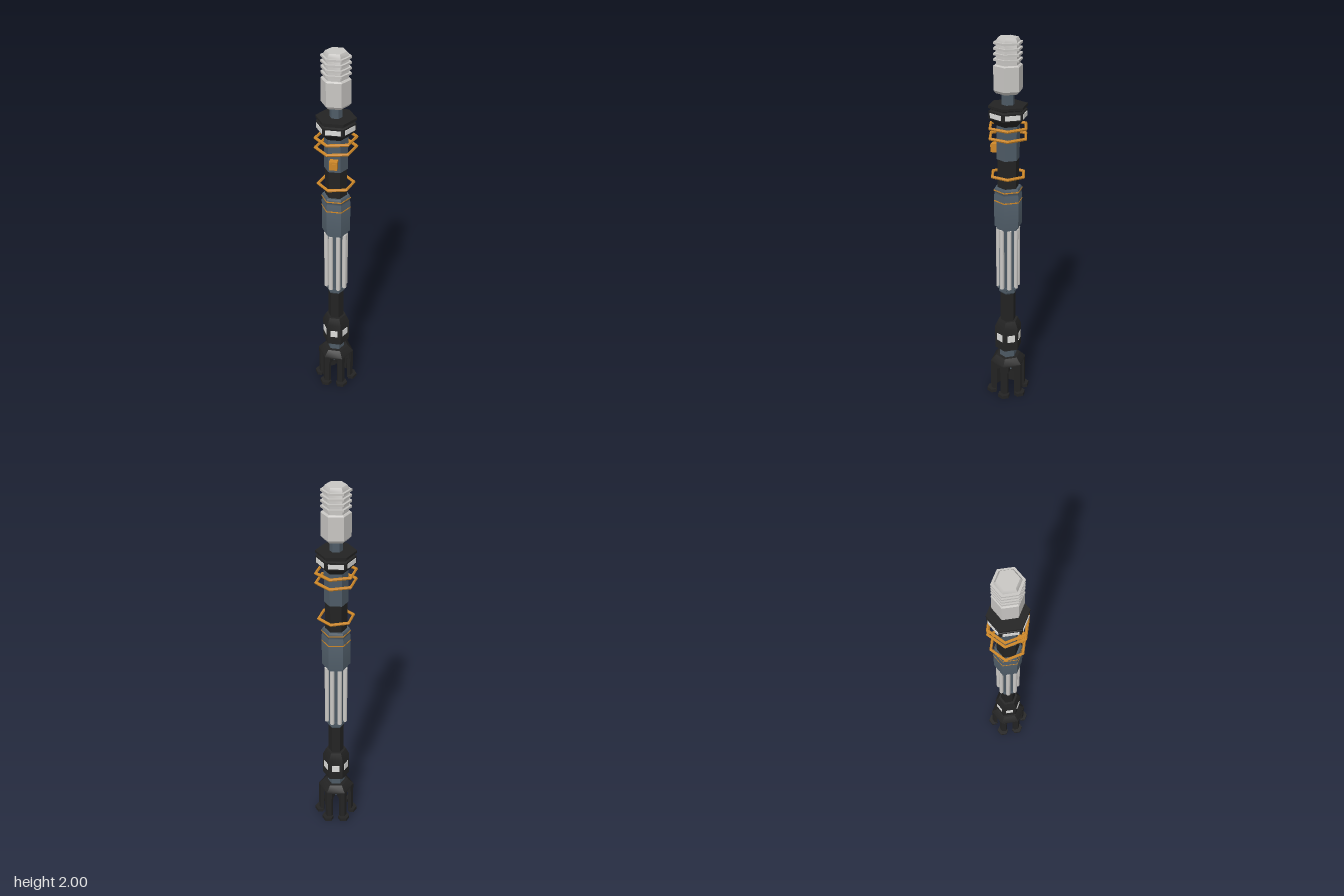
import * as THREE from 'three';
import { toCreasedNormals } from 'three/addons/utils/BufferGeometryUtils.js';

const paint = (name, color) => {
  const m = new THREE.MeshStandardMaterial({ color });
  m.name = name;
  return m;
};

export function createModel() {
  const model = new THREE.Group();
  model.name = 'hexTower';
  const slate = paint('slate', 0x4e5b66);
  const black = paint('black', 0x232323);
  const silver = paint('silver', 0xc8c6c3);
  const gold = paint('gold', 0xcf8828);
  const glass = paint('paleWindow', 0xdddddb);

  const add = (name, geometry, material, parent = model) => {
    const mesh = new THREE.Mesh(toCreasedNormals(geometry, 0.55), material);
    mesh.name = name;
    parent.add(mesh);
    return mesh;
  };

  // Closed six-sided body with corners on the x axis; profile of [radius, y] from bottom to top
  const hex = (name, material, profile) => {
    const pts = [[0, profile[0][1]], ...profile, [0, profile[profile.length - 1][1]]];
    return add(name, new THREE.LatheGeometry(pts.map(p => new THREE.Vector2(...p)), 6, Math.PI / 6), material);
  };

  // Thin window plate on each of the six faces
  const windows = (name, radius, y, width, height) => {
    for (let i = 0; i < 6; i++) {
      const pivot = new THREE.Group();
      pivot.name = name;
      pivot.rotation.y = i * Math.PI / 3;
      add(name, new THREE.BoxGeometry(width, height, 0.006), glass, pivot)
        .position.set(0, y, radius * Math.cos(Math.PI / 6));
      model.add(pivot);
    }
  };

  // Pointed block: the corner of a hexagonal ring, upright between y0 and y1
  const cornerBlock = (name, inner, outer, half, y0, y1, parent) => {
    const back = outer - half * Math.tan(Math.PI / 6);
    const shape = new THREE.Shape([
      [outer, 0], [back, half], [inner, half], [inner, -half], [back, -half],
    ].map(p => new THREE.Vector2(...p)));
    const g = new THREE.ExtrudeGeometry(shape, { depth: y1 - y0, bevelEnabled: false });
    g.rotateX(-Math.PI / 2).translate(0, y0, 0);
    add(name, g, black, parent);
  };

  // Claw base: cap, six legs and feet
  hex('clawCap', black, [[0.085, 0.185], [0.1, 0.195], [0.098, 0.205], [0.068, 0.235]]);
  for (let i = 0; i < 6; i++) {
    const leg = new THREE.Group();
    leg.name = 'leg';
    leg.rotation.y = i * Math.PI / 3;
    cornerBlock('legPost', 0.07, 0.1, 0.021, 0, 0.2, leg);
    cornerBlock('legBrace', 0.052, 0.098, 0.024, 0.155, 0.2, leg);
    cornerBlock('foot', 0.078, 0.122, 0.03, 0, 0.02, leg);
    model.add(leg);
  }
  hex('baseCore', slate, [[0.048, 0.15], [0.048, 0.295]]);

  // Lower shaft with window band
  hex('lowerHousing', black, [[0.074, 0.29], [0.074, 0.425], [0.055, 0.465]]);
  windows('lowerWindow', 0.074, 0.366, 0.042, 0.042);
  hex('lowerShaft', black, [[0.042, 0.46], [0.042, 0.645]]);
  hex('shaftCollar', slate, [[0.042, 0.635], [0.05, 0.645], [0.05, 0.66], [0.058, 0.665], [0.058, 0.68]]);

  // Bundle of polished pipes around a slate core
  hex('pipeCore', slate, [[0.051, 0.67], [0.051, 1.03]]);
  for (let i = 0; i < 8; i++) {
    const a = (i + 0.5) * Math.PI / 4;
    add('pipe', new THREE.CylinderGeometry(0.012, 0.012, 0.345, 14), silver)
      .position.set(0.052 * Math.cos(a), 0.847, 0.052 * Math.sin(a));
  }

  // Middle housing with inlaid bands
  hex('middleHousing', slate, [
    [0.062, 1.018], [0.062, 1.032], [0.074, 1.036], [0.074, 1.21], [0.071, 1.215],
    [0.071, 1.225], [0.074, 1.23], [0.074, 1.24], [0.068, 1.25],
  ]);
  for (const y of [1.178, 1.235]) hex('goldBand', gold, [[0.0755, y - 0.003], [0.0755, y + 0.003]]);
  hex('upperNeck', black, [[0.056, 1.24], [0.056, 1.405]]);
  hex('upperHousing', slate, [[0.06, 1.4], [0.06, 1.6]]);

  // Control box on the front
  add('controlBox', new THREE.BoxGeometry(0.04, 0.044, 0.038), gold).position.set(0, 1.452, 0.066);
  add('controlBoxCover', new THREE.BoxGeometry(0.026, 0.03, 0.006), gold).position.set(0, 1.452, 0.086);

  // Floating hexagonal hoops, slightly twisted
  for (const [y, r] of [[1.315, 0.09], [1.516, 0.101], [1.567, 0.101]]) {
    const hoop = new THREE.TorusGeometry(r, 0.008, 6, 6);
    hoop.rotateX(-Math.PI / 2).rotateY(14 * Math.PI / 180);
    add('hoop', hoop, gold).position.y = y;
  }

  // Observation collar
  hex('collar', black, [
    [0.06, 1.575], [0.076, 1.59], [0.098, 1.612], [0.098, 1.65],
    [0.088, 1.655], [0.088, 1.66], [0.1, 1.665], [0.1, 1.677],
  ]);
  windows('collarWindow', 0.098, 1.63, 0.075, 0.024);
  hex('headStem', slate, [[0.032, 1.67], [0.032, 1.745]]);

  // Ribbed head
  hex('headBase', silver, [[0.06, 1.735], [0.073, 1.75], [0.073, 1.868], [0.066, 1.874]]);
  hex('headTop', silver, [[0.06, 1.87], [0.06, 1.985], [0.05, 2.0]]);
  for (let i = 0; i < 4; i++) {
    const y = 1.897 + i * 0.026;
    hex('headRib', silver, [[0.073, y - 0.005], [0.073, y + 0.005]]);
  }
  return model;
}
